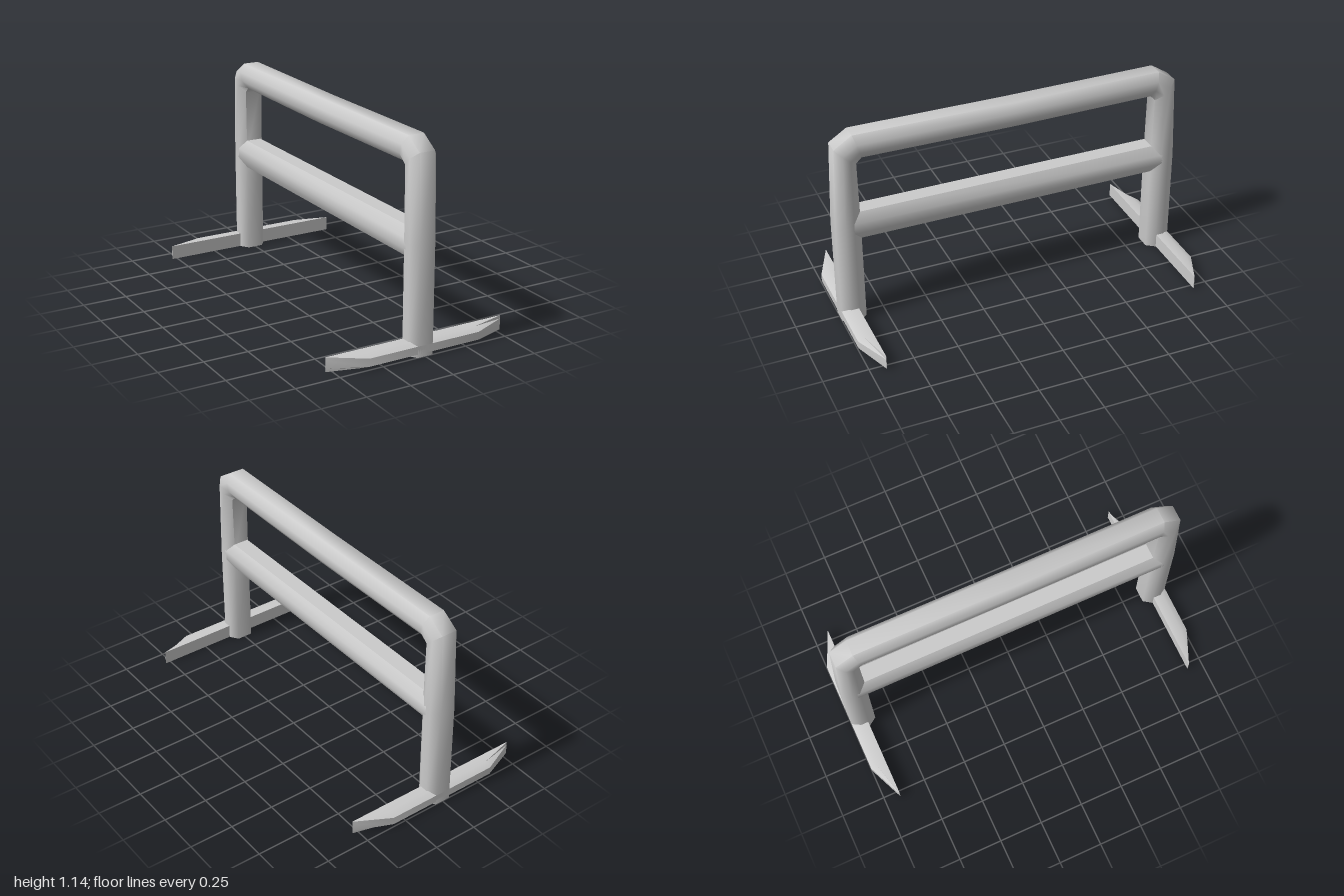
import * as THREE from 'three';
import { toCreasedNormals } from 'three/addons/utils/BufferGeometryUtils.js';

const material = new THREE.MeshStandardMaterial({ color: 0xcccccc });

// Skin a row of equal-length rings, closing both ends
function loft(name, rings) {
  const n = rings[0].length, last = (rings.length - 1) * n, index = [];
  for (let i = 0; i < rings.length - 1; i++) {
    for (let j = 0; j < n; j++) {
      const a = i * n + j, b = i * n + (j + 1) % n;
      index.push(a, a + n, b, b, a + n, b + n);
    }
  }
  for (let j = 1; j < n - 1; j++) {
    index.push(0, j, j + 1, last, last + j + 1, last + j);
  }
  const geometry = new THREE.BufferGeometry();
  geometry.setAttribute('position', new THREE.Float32BufferAttribute(rings.flat(2), 3));
  geometry.setIndex(index);
  const mesh = new THREE.Mesh(toCreasedNormals(geometry, 1.0), material);
  mesh.name = name;
  return mesh;
}

// Eight-sided tube section as [across x, inner-to-outer], both -1 to 1
const section = [[1, -0.35], [1, 0.35], [0.58, 1], [-0.58, 1], [-1, 0.35], [-1, -0.35], [-0.58, -1], [0.58, -1]];
const halfWidth = 0.077;

// Each station gives the outer z, y and the inner z, y of the tube
function tube(name, stations) {
  return loft(name, stations.map(([oz, oy, iz, iy]) => section.map(([u, v]) => [
    u * halfWidth,
    (oy + iy) / 2 + v * (oy - iy) / 2,
    (oz + iz) / 2 + v * (oz - iz) / 2,
  ])));
}

// Foot: long straight inner edge, rounded outer edge, ends cut at a slant
function foot(name) {
  const ring = (x, reach) => [
    [0, 0], [0.055, 0], [0.09, 0.018], [0.09, 0.062], [0.055, 0.08], [0, 0.08],
  ].map(([z, y]) => [x, y, 0.91 + z * reach]);
  return loft(name, [ring(-0.53, 0.03), ring(-0.33, 1), ring(0.33, 1), ring(0.53, 0.03)]);
}

export function createModel() {
  const group = new THREE.Group();
  group.name = 'barrierStand';

  // Hoop: front post, bevelled corners, top rail and back post
  const half = [
    [1, 0, 0.86, 0],
    [1, 0.6, 0.86, 0.6],
    [0.98, 1.075, 0.865, 0.97],
    [0.88, 1.14, 0.835, 1.0],
  ];
  const mirrored = half.map(([oz, oy, iz, iy]) => [-oz, oy, -iz, iy]).reverse();
  group.add(tube('hoop', [...half, [0, 1.135, 0, 0.993], ...mirrored]));

  // Middle rail between the posts
  group.add(tube('middleRail', [[0.92, 0.675, 0.92, 0.51], [-0.92, 0.675, -0.92, 0.51]]));

  // Feet
  const backFoot = foot('backFoot');
  backFoot.rotation.y = Math.PI;
  group.add(foot('frontFoot'), backFoot);
  return group;
}
